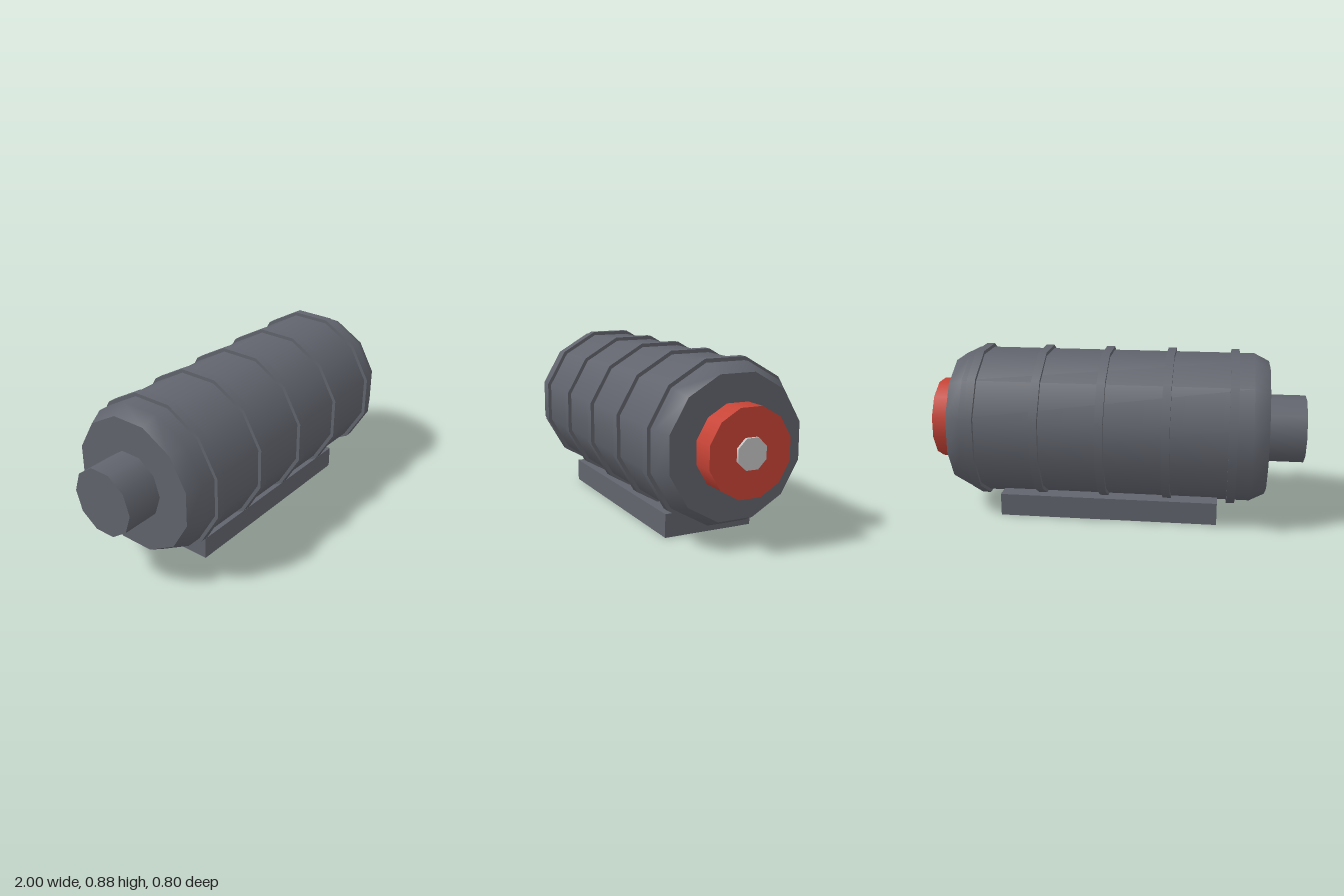
import * as THREE from 'three';

const AXIS_Y = 0.478; // height of the barrel axis

const makeMaterial = (name, color) => {
  const m = new THREE.MeshStandardMaterial({ color });
  m.name = name;
  return m;
};

export function createModel() {
  const steel = makeMaterial('darkSteel', 0x61646d);
  const red = makeMaterial('red', 0xc84437);
  const silver = makeMaterial('silver', 0xc6c6c6);

  const model = new THREE.Group();
  model.name = 'motor';

  const add = (name, geometry, material, x = 0, y = AXIS_Y) => {
    const mesh = new THREE.Mesh(geometry, material);
    mesh.name = name;
    mesh.position.set(x, y, 0);
    model.add(mesh);
    return mesh;
  };

  // Prism along x between x0 and x1; start angle sets which way the flats face
  const drum = (name, radius, x0, x1, sides, start, material) => {
    const g = new THREE.CylinderGeometry(radius, radius, x1 - x0, sides, 1, false, start);
    g.rotateZ(-Math.PI / 2);
    return add(name, g, material, (x0 + x1) / 2);
  };

  // Chamfered barrel
  const flat12 = Math.PI / 12;
  const endRadius = 0.357;
  const profile = [[endRadius, -0.8], [0.397, -0.72], [0.397, 0.785], [endRadius, 0.865]]
    .map(([r, x]) => new THREE.Vector2(r, x));
  const barrel = new THREE.LatheGeometry(profile, 12, flat12);
  barrel.rotateZ(-Math.PI / 2);
  add('barrel', barrel, steel);

  // Flat barrel ends
  for (const [name, x, side] of [['backEnd', -0.8, -1], ['frontEnd', 0.865, 1]]) {
    const g = new THREE.CircleGeometry(endRadius, 12, flat12);
    g.rotateY(side * Math.PI / 2);
    add(name, g, steel, x);
  }

  // Evenly spaced bands
  for (let i = 0; i < 5; i++) {
    const x = -0.62 + i * 0.3375;
    drum('band' + (i + 1), 0.416, x - 0.022, x + 0.022, 12, flat12, steel);
  }

  // End fittings
  drum('inletPipe', 0.179, -1, -0.79, 10, 0, steel);
  drum('redCap', 0.218, 0.855, 0.985, 12, flat12, red);
  drum('shaft', 0.0795, 0.96, 1, 8, Math.PI / 8, silver);

  // Mounting base
  add('base', new THREE.BoxGeometry(1.165, 0.12, 0.478), steel, 0.0325, 0.06);

  return model;
}
